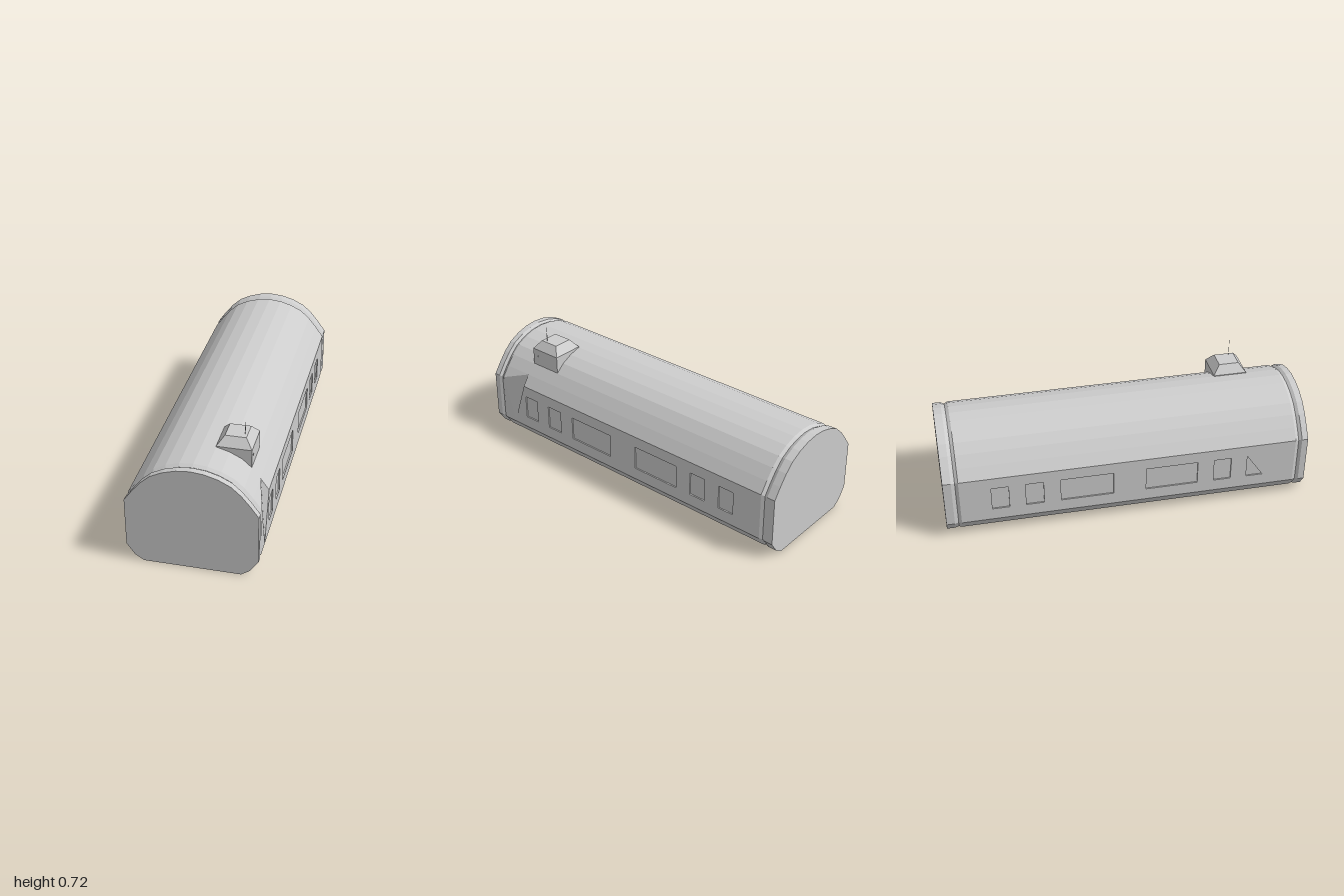
import * as THREE from 'three';

const grey = new THREE.MeshStandardMaterial({ color: 0xcccccc, flatShading: true, side: THREE.DoubleSide });
grey.name = 'plain grey';

// Half of the hull section, from the bottom edge up to the ridge
const half = [[0.25, 0], [0.295, 0.03], [0.338, 0.092], [0.338, 0.36], [0.295, 0.42],
  [0.25, 0.475], [0.2, 0.52], [0.138, 0.551], [0.07, 0.571], [0, 0.578]];
const section = [...half, ...half.slice(0, -1).reverse().map(([x, y]) => [-x, y])];
const RIGHT_WALL = 2, RIGHT_SHOULDER = 3, LEFT_WALL = 15;
const BAY_BACK = -0.918, BAY_FRONT = 0.93;

// Stations along z: [z, scale in x, scale in y]; the shrunken ones form the grooves
const stations = [[-1, 1, 1], [-0.955, 1, 1], [-0.935, 0.97, 0.982], [BAY_BACK, 1, 1],
  [BAY_FRONT, 1, 1], [0.95, 0.97, 0.982], [0.966, 1, 1], [1, 1, 1]];

// Mesh from flat convex polygons
function polyMesh(name, polys) {
  const pos = [];
  for (const p of polys)
    for (let i = 1; i < p.length - 1; i++) pos.push(...p[0], ...p[i], ...p[i + 1]);
  const g = new THREE.BufferGeometry();
  g.setAttribute('position', new THREE.Float32BufferAttribute(pos, 3));
  g.computeVertexNormals();
  return named(name, g);
}

function named(name, geometry) {
  const m = new THREE.Mesh(geometry, grey);
  m.name = name;
  return m;
}

function hull() {
  const polys = [];
  const rings = stations.map(([z, sx, sy]) => section.map(([x, y]) => [x * sx, y * sy, z]));
  const n = section.length;
  for (let s = 0; s < rings.length - 1; s++)
    for (let i = 0; i < n; i++) {
      // Window walls and the dented shoulder are built separately
      if (s === 3 && [RIGHT_WALL, RIGHT_SHOULDER, LEFT_WALL].includes(i)) continue;
      const j = (i + 1) % n, back = rings[s], front = rings[s + 1];
      polys.push([front[i], back[i], back[j], front[j]]);
    }
  polys.push(rings[rings.length - 1], [...rings[0]].reverse());
  return polyMesh('hull', polys);
}

// Shoulder strip with a dent pushed into its front corner
function dentedShoulder() {
  const a = [0.338, 0.36, BAY_FRONT], b = [0.295, 0.42, 0.76];
  const c = [0.338, 0.36, 0.76], d = [0.338, 0.1, 0.85];
  return polyMesh('dentedShoulder', [
    [c, [0.338, 0.36, BAY_BACK], [0.295, 0.42, BAY_BACK], b],
    [a, b, [0.295, 0.42, BAY_FRONT]],
    [a, d, b], [b, d, c],
  ]);
}

// Side wall with window openings and a recessed pane behind them
function sideWall(side) {
  const toPoint = ([z, y]) => new THREE.Vector2(-side * z, y);
  const outline = [[BAY_BACK, 0.092], [BAY_FRONT, 0.092], [BAY_FRONT, 0.36]];
  if (side > 0) outline.push([0.85, 0.1], [0.76, 0.36]);
  outline.push([BAY_BACK, 0.36]);
  const shape = new THREE.Shape(outline.map(toPoint));

  const lo = 0.16, hi = 0.295;
  for (const [z0, z1] of [[0.09, 0.378], [0.47, 0.567], [0.657, 0.75]])
    for (const end of [-1, 1]) {
      const p = [[end * z0, lo], [end * z1, lo], [end * z1, hi], [end * z0, hi]];
      // The front left window is half filled, leaving a triangle
      if (side < 0 && end > 0 && z0 > 0.6) p.splice(2, 1);
      shape.holes.push(new THREE.Path(p.map(toPoint)));
    }

  const group = new THREE.Group();
  group.name = side > 0 ? 'leftWall' : 'rightWall';
  const wall = new THREE.ExtrudeGeometry(shape, { depth: 0.008, bevelEnabled: false });
  wall.translate(0, 0, 0.33).rotateY(side * Math.PI / 2);
  const panes = new THREE.PlaneGeometry(1.505, 0.14);
  panes.translate(0, 0.2275, 0.3305).rotateY(side * Math.PI / 2);
  group.add(named('wallPanel', wall), named('windowPanes', panes));
  return group;
}

// Roof turret: a box sunk in the roof with a sloped cap
function turret() {
  const group = new THREE.Group();
  group.name = 'roofTurret';
  const rect = (x0, x1, z0, z1, y) => [[x0, y, z1], [x1, y, z1], [x1, y, z0], [x0, y, z0]];
  const levels = [rect(0.068, 0.249, 0.568, 0.755, 0.477),
    rect(0.068, 0.249, 0.568, 0.755, 0.575), rect(0.105, 0.213, 0.607, 0.718, 0.622)];
  const polys = [levels[2], [...levels[0]].reverse()];
  for (let l = 0; l < 2; l++)
    for (let i = 0; i < 4; i++) {
      const j = (i + 1) % 4;
      polys.push([levels[l][i], levels[l][j], levels[l + 1][j], levels[l + 1][i]]);
    }
  group.add(polyMesh('turretBody', polys));

  // Small side port
  const port = new THREE.BoxGeometry(0.004, 0.01, 0.01);
  port.translate(0.249, 0.533, 0.722);
  group.add(named('turretPort', port));

  // Antenna with a small fin
  const mast = new THREE.CylinderGeometry(0.0006, 0.0013, 0.102, 6);
  mast.translate(0.199, 0.671, 0.688);
  group.add(named('antenna', mast));
  group.add(polyMesh('antennaFin', [[[0.199, 0.64, 0.688], [0.205, 0.648, 0.688],
    [0.202, 0.67, 0.688], [0.199, 0.68, 0.688]]]));
  return group;
}

export function createModel() {
  const model = new THREE.Group();
  model.name = 'barrelHall';
  model.add(hull(), dentedShoulder(), sideWall(1), sideWall(-1), turret());
  return model;
}
